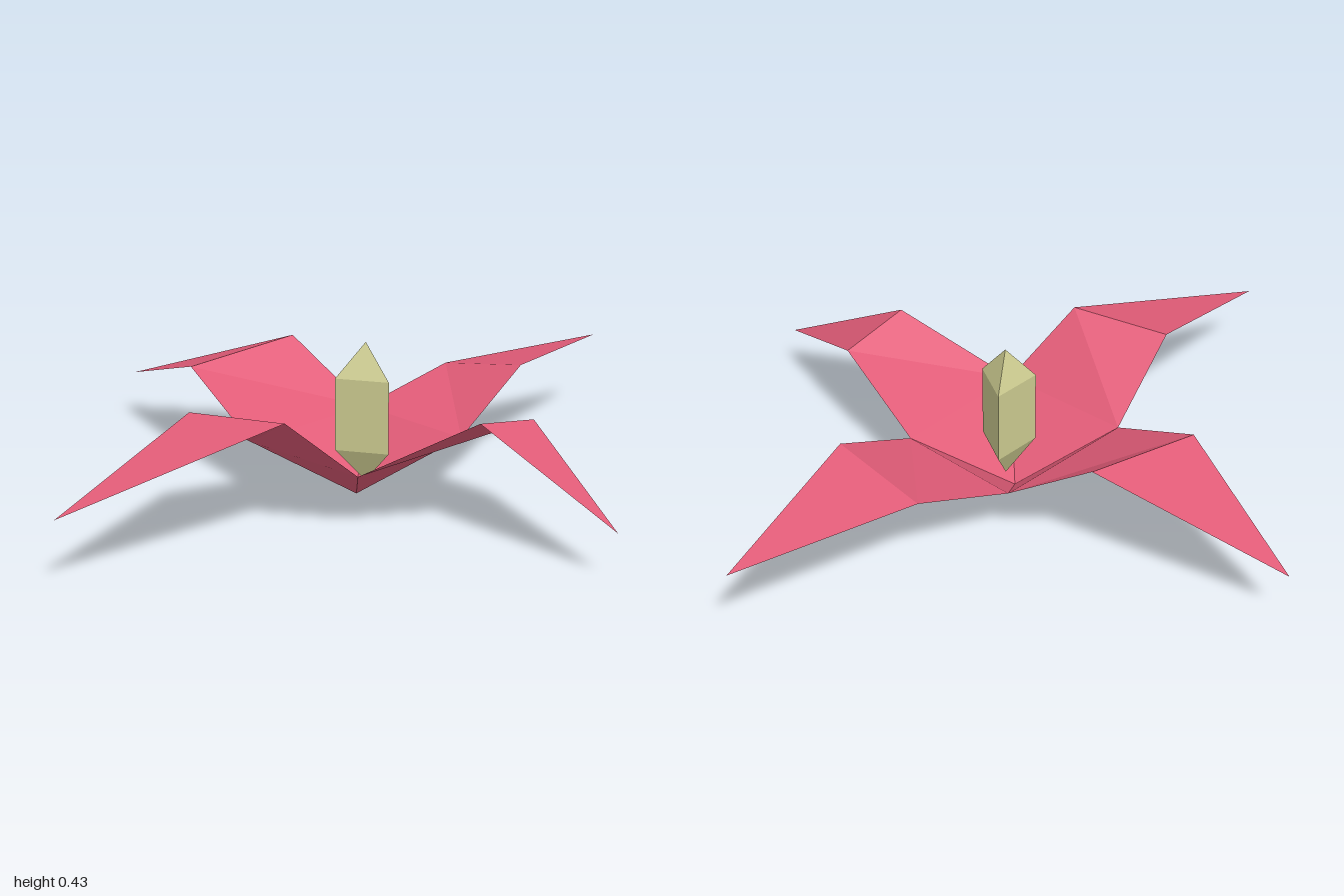
import * as THREE from 'three';

const pink = new THREE.MeshStandardMaterial({ color: 0xe25c78, flatShading: true, side: THREE.DoubleSide });
pink.name = 'petal pink';
const khaki = new THREE.MeshStandardMaterial({ color: 0xcccb90, flatShading: true });
khaki.name = 'pistil khaki';

// Flower cup: a low point and four rim corners shared by neighbouring petals
const base = [0.01, 0, 0];
const corners = [[-0.17, 0.16, 0.22], [0.22, 0.16, 0.21], [0.21, 0.16, -0.2], [-0.16, 0.16, -0.21]];

// Each petal: two bend points and a drooping tip
const petals = [
  { name: 'frontPetal', bend: [[-0.12, 0.32, 0.48], [0.15, 0.335, 0.4]], tip: [-0.02, 0.2, 1] },
  { name: 'leftPetal', bend: [[0.5, 0.335, 0.06], [0.5, 0.295, -0.15]], tip: [0.895, 0.135, 0] },
  { name: 'backPetal', bend: [[0.18, 0.295, -0.48], [-0.1, 0.24, -0.48]], tip: [0.03, 0.24, -1] },
  { name: 'rightPetal', bend: [[-0.41, 0.325, -0.17], [-0.465, 0.295, 0.17]], tip: [-0.9, 0.145, 0.015] },
];

function petalGeometry(a, b, [bendA, bendB], tip) {
  const triangles = [
    base, a, b, // cup side
    a, bendA, bendB, a, bendB, b, // rising blade
    bendA, tip, bendB, // folded tip
  ];
  const geometry = new THREE.BufferGeometry();
  geometry.setAttribute('position', new THREE.Float32BufferAttribute(triangles.flat(), 3));
  geometry.computeVertexNormals();
  return geometry;
}

export function createModel() {
  const flower = new THREE.Group();
  flower.name = 'flower';

  petals.forEach(({ name, bend, tip }, i) => {
    const petal = new THREE.Mesh(petalGeometry(corners[i], corners[(i + 1) % 4], bend, tip), pink);
    petal.name = name;
    flower.add(petal);
  });

  // Three-sided pistil, pointed at both ends
  const profile = [[0, 0.04], [0.085, 0.135], [0.085, 0.337], [0, 0.432]];
  const pistil = new THREE.Mesh(
    new THREE.LatheGeometry(profile.map(([r, y]) => new THREE.Vector2(r, y)), 3, Math.PI / 2),
    khaki,
  );
  pistil.name = 'pistil';
  pistil.position.set(0.03, 0, -0.015);
  flower.add(pistil);

  return flower;
}
